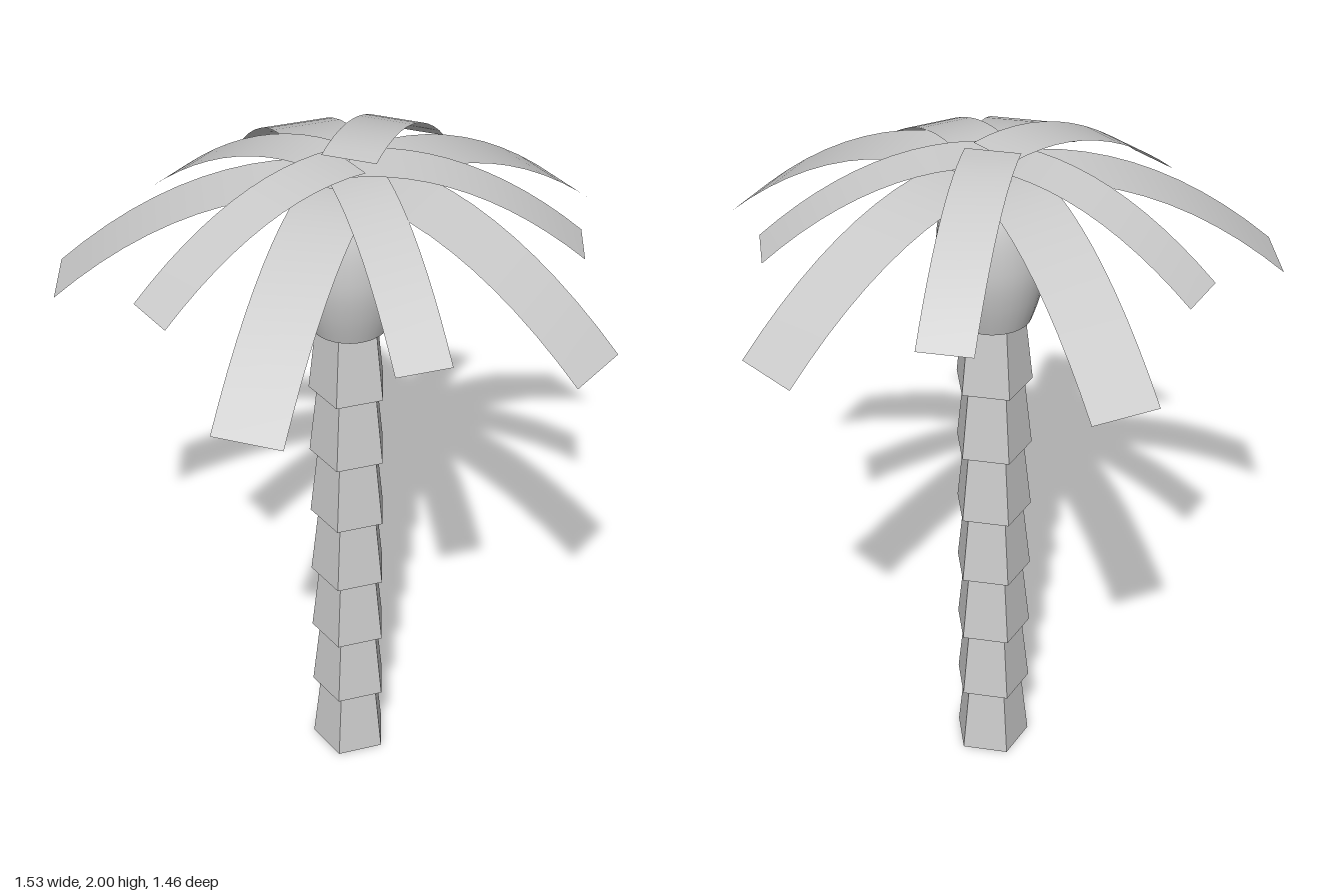
import * as THREE from 'three';

const AXIS_Z = 0.046; // the trunk stands slightly forward of centre

const smooth = new THREE.MeshStandardMaterial({ color: 0xcccccc, side: THREE.DoubleSide });
const faceted = new THREE.MeshStandardMaterial({ color: 0xcccccc, side: THREE.DoubleSide, flatShading: true });

// Ribbon leaf growing along +z from the axis, arching over a low peak
function frondGeometry(length, width, peakAt, drop) {
  const geo = new THREE.PlaneGeometry(width, length, 1, 12);
  geo.rotateX(-Math.PI / 2);
  geo.translate(0, 0, length / 2);
  const pos = geo.attributes.position;
  const curve = drop / (length - peakAt) ** 2;
  for (let i = 0; i < pos.count; i++) {
    pos.setY(i, -curve * (pos.getZ(i) - peakAt) ** 2);
  }
  geo.computeVertexNormals();
  return geo;
}

export function createModel() {
  const tree = new THREE.Group();
  tree.name = 'palmTree';
  const plant = new THREE.Group();
  plant.name = 'plant';
  plant.position.z = AXIS_Z;
  tree.add(plant);

  // Trunk: stacked hollow five-sided tapering sleeves
  const trunk = new THREE.Group();
  trunk.name = 'trunk';
  const count = 7, step = 1.5 / count;
  const sleeve = new THREE.CylinderGeometry(0.09, 0.113, step, 5, 1, true, Math.PI);
  for (let i = 0; i < count; i++) {
    const mesh = new THREE.Mesh(sleeve, faceted);
    mesh.name = 'trunkSegment' + (i + 1);
    mesh.position.y = (i + 0.5) * step;
    trunk.add(mesh);
  }
  plant.add(trunk);

  // Crown: smooth egg-shaped bulb with a flat underside
  const side = new THREE.SplineCurve([
    [0.108, 1.5], [0.13, 1.57], [0.147, 1.65], [0.151, 1.72], [0.144, 1.8],
    [0.122, 1.87], [0.083, 1.92], [0.045, 1.94], [0, 1.945],
  ].map(([r, y]) => new THREE.Vector2(r, y))).getPoints(20);
  side[side.length - 1].x = 0;
  const bulb = new THREE.Mesh(new THREE.LatheGeometry(side, 32), smooth);
  bulb.name = 'crownBulb';
  const base = new THREE.Mesh(new THREE.CircleGeometry(0.108, 32), smooth);
  base.name = 'crownBase';
  base.rotation.x = Math.PI / 2;
  base.position.y = 1.5;
  plant.add(bulb, base);

  // Fronds: five long and five short, alternating, each at its own height
  const fronds = new THREE.Group();
  fronds.name = 'fronds';
  const addRing = (name, geo, startAngle, heights) => heights.forEach((y, i) => {
    const frond = new THREE.Mesh(geo, smooth);
    frond.name = name + (i + 1);
    frond.rotation.y = startAngle + (i * Math.PI * 2) / 5;
    frond.position.y = y;
    fronds.add(frond);
  });
  addRing('longFrond', frondGeometry(0.775, 0.19, 0.1, 0.312), Math.PI / 5,
    [1.946, 1.966, 1.957, 1.951, 1.946]);
  addRing('shortFrond', frondGeometry(0.615, 0.15, 0.06, 0.245), 0,
    [1.995, 1.983, 1.99, 2.0, 1.985]);
  plant.add(fronds);

  return tree;
}
